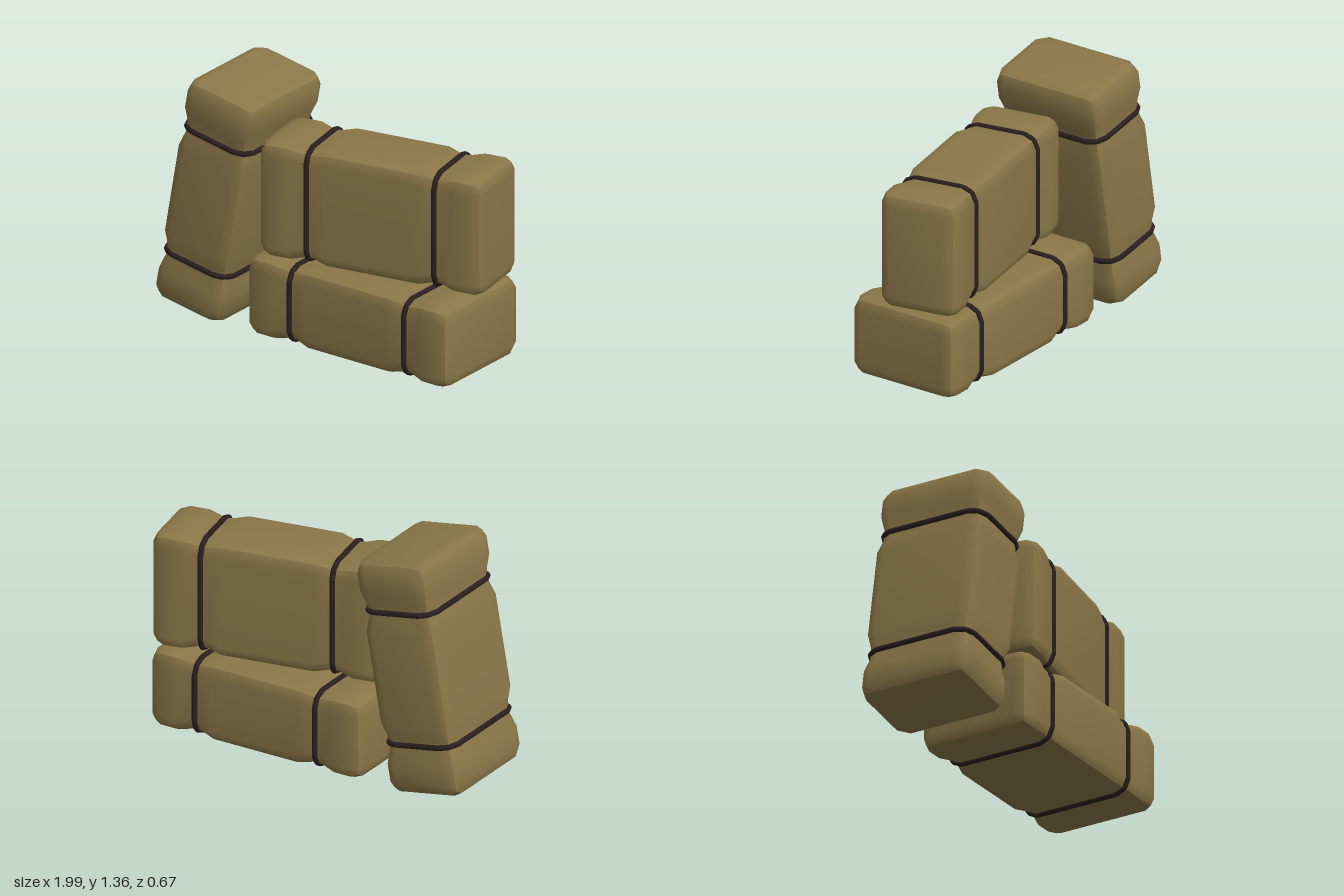
import * as THREE from 'three';

// Grid levels of one bale along its length, height and depth
const LX = [-0.665, -0.59, -0.49, -0.41, -0.34, -0.26, 0.26, 0.34, 0.41, 0.49, 0.59, 0.665];
const LY = [-0.23, -0.155, 0.155, 0.23];
const LZ = [-0.335, -0.26, 0.26, 0.335];
const PINCH = 0.018;
const EDGE = 0.023;
const CORNER = 0.036;
const STRAP_X = 0.375;

const shrink = (v, d) => v - Math.sign(v) * d;

// Box whose edges are pulled in and whose sides are squeezed under the straps
function baleGeometry() {
  const levels = [LX, LY, LZ];
  const geo = new THREE.BoxGeometry(1, 1, 1, LX.length - 1, LY.length - 1, LZ.length - 1);
  const pos = geo.attributes.position;
  for (let i = 0; i < pos.count; i++) {
    const idx = levels.map((l, a) => Math.round((pos.getComponent(i, a) + 0.5) * (l.length - 1)));
    const outer = idx.map((k, a) => k === 0 || k === levels[a].length - 1);
    const count = outer.filter(Boolean).length;
    const inset = count === 3 ? CORNER : count === 2 ? EDGE : 0;
    const p = idx.map((k, a) => (outer[a] ? shrink(levels[a][k], inset) : levels[a][k]));
    const ax = Math.abs(LX[idx[0]]);
    if (ax > 0.3 && ax < 0.45) {
      p[1] = shrink(p[1], PINCH);
      p[2] = shrink(p[2], PINCH);
    }
    pos.setXYZ(i, p[0], p[1], p[2]);
  }
  geo.computeVertexNormals();
  return geo;
}

// Cord following the squeezed cross-section
function strapGeometry() {
  const h = 0.23 - PINCH, d = 0.335 - PINCH;
  const corner = [[0, 0.075], [EDGE, EDGE], [0.075, 0]];
  const pts = [];
  for (const [sy, sz] of [[1, 1], [-1, 1], [-1, -1], [1, -1]]) {
    const list = sy * sz > 0 ? corner : [...corner].reverse();
    for (const [iy, iz] of list) pts.push(new THREE.Vector3(0, sy * (h - iy), sz * (d - iz)));
  }
  const path = new THREE.CatmullRomCurve3(pts, true, 'catmullrom', 0);
  return new THREE.TubeGeometry(path, 112, 0.016, 8, true);
}

export function createModel() {
  const straw = new THREE.MeshStandardMaterial({ color: 0x8b7748 });
  straw.name = 'straw';
  const cord = new THREE.MeshStandardMaterial({ color: 0x2a1f20 });
  cord.name = 'darkCord';
  const baleGeo = baleGeometry();
  const strapGeo = strapGeometry();

  const model = new THREE.Group();
  model.name = 'hayBales';

  function addBale(name, position, rotation) {
    const bale = new THREE.Group();
    bale.name = name;
    const body = new THREE.Mesh(baleGeo, straw);
    body.name = name + 'Body';
    bale.add(body);
    for (const s of [-1, 1]) {
      const strap = new THREE.Mesh(strapGeo, cord);
      strap.name = name + 'Strap';
      strap.position.x = s * STRAP_X;
      bale.add(strap);
    }
    bale.position.set(...position);
    bale.rotation.set(...rotation, 'YXZ');
    model.add(bale);
  }

  // One lies flat, one sits on its side on top, one leans upright
  addBale('lowerBale', [0.275, 0.238, 0], [0, 0, 0]);
  addBale('upperBale', [0.31, 0.81, 0], [Math.PI / 2, 0.178, 0]);
  addBale('leaningBale', [-0.67, 0.686, 0], [0, 0, Math.PI / 2 - 0.176]);
  return model;
}
